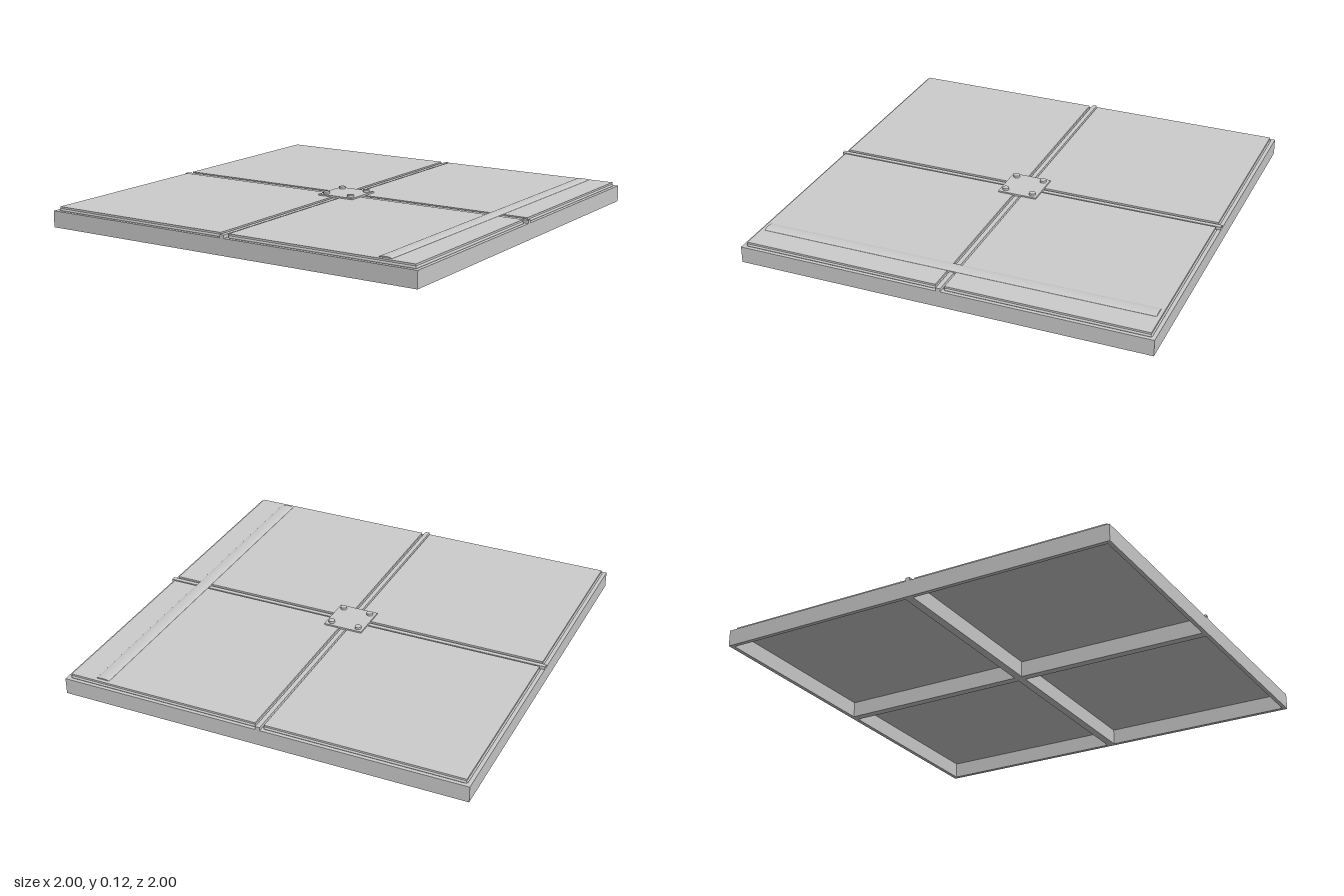
import * as THREE from 'three';

export function createModel() {
  const root = new THREE.Group();
  const mat = new THREE.MeshStandardMaterial({ color: 0xcccccc });

  function add(name, geo, x, y, z) {
    const m = new THREE.Mesh(geo, mat);
    m.name = name;
    m.position.set(x, y, z);
    root.add(m);
    return m;
  }
  // box given by its size, bottom height and centre
  const box = (name, w, h, d, x, y, z) =>
    add(name, new THREE.BoxGeometry(w, h, d), x, y + h / 2, z);

  // Outer frame and cross bars
  const H = 0.08, T = 0.02;
  for (const s of [-1, 1]) {
    box('frameSide', T, H, 2, s * (1 - T / 2), 0, 0);
    box('frameEnd', 2 - 2 * T, H, T, 0, 0, s * (1 - T / 2));
    box('crossBar', 0.96, H, 0.04, s * 0.5, 0, 0);
  }
  box('longBar', 0.04, H, 2 - 2 * T, 0, 0, 0);

  // Narrow cover strips along the bars
  box('longCover', 0.022, 0.016, 2, 0, H, 0);
  box('crossCover', 2, 0.016, 0.022, 0, H, 0);

  // Four panels, each edged by round beads
  const inner = 0.022, outer = 0.978, size = outer - inner, mid = (inner + outer) / 2;
  for (const sx of [-1, 1]) {
    for (const sz of [-1, 1]) {
      box('panel', size, 0.021, size, sx * mid, H - 0.002, sz * mid);
      for (const e of [inner, outer]) {
        const bead = new THREE.CapsuleGeometry(0.006, size - 0.012, 3, 8);
        add('beadAlongZ', bead, sx * e, H + 0.004, sz * mid).rotation.x = Math.PI / 2;
        add('beadAlongX', bead, sx * mid, H + 0.004, sz * e).rotation.z = Math.PI / 2;
      }
    }
  }

  // Shallow rounded strip running across the panels at the left side
  const profile = new THREE.Shape();
  profile.moveTo(-0.033, -0.019);
  profile.lineTo(0.033, -0.019);
  profile.lineTo(0.033, 0);
  profile.absellipse(0, 0, 0.033, 0.006, 0, Math.PI, false);
  const strip = new THREE.ExtrudeGeometry(profile, { depth: 1.92, bevelEnabled: false, curveSegments: 12 });
  add('raisedStrip', strip, 0.82, 0.099, -0.96);

  // Centre plate with four bolts
  box('centrePlate', 0.196, 0.01, 0.196, 0, 0.096, 0);
  for (const x of [-0.07, 0.07]) {
    for (const z of [-0.07, 0.07]) {
      add('bolt', new THREE.CylinderGeometry(0.016, 0.016, 0.012, 12), x, 0.111, z);
    }
  }
  return root;
}
